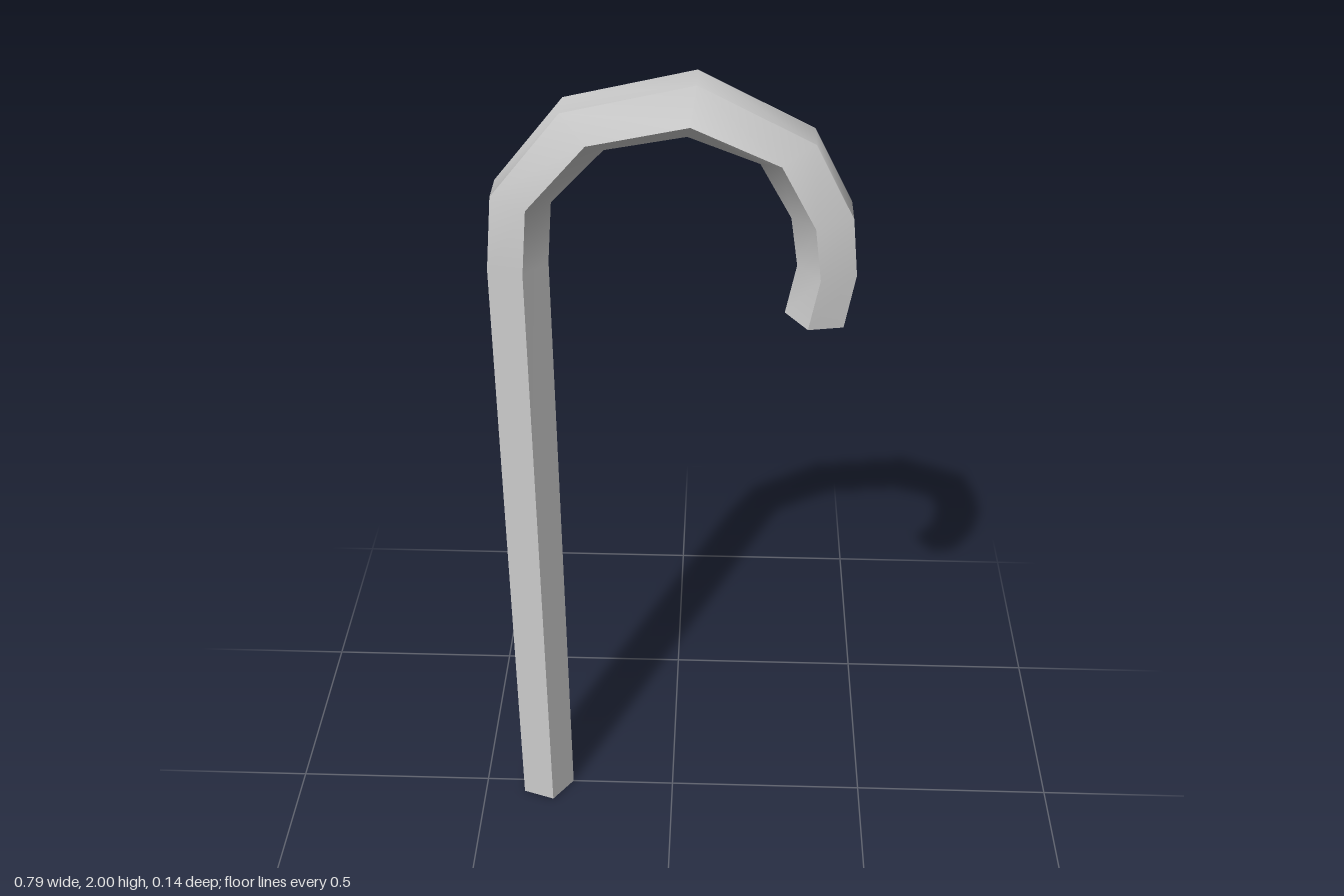
import * as THREE from 'three';

// Outer and inner edge of the cane at each bend: [outerX, outerY, innerX, innerY]
const stations = [
  [-0.396, 0, -0.268, 0],
  [-0.396, 1.58, -0.268, 1.58],
  [-0.38, 1.75, -0.257, 1.72],
  [-0.228, 1.937, -0.143, 1.84],
  [0.05, 2, 0.03, 1.872],
  [0.294, 1.877, 0.182, 1.814],
  [0.38, 1.712, 0.251, 1.692],
  [0.394, 1.58, 0.268, 1.58],
  [0.373, 1.453, 0.246, 1.464],
];

// Pentagon section: [fraction from outer to inner edge, z]
const section = [[0, 0.042], [0.617, 0.068], [1, 0], [0.617, -0.068], [0, -0.042]];

const corner = ([ox, oy, ix, iy], [t, z]) => [ox + (ix - ox) * t, oy + (iy - oy) * t, z];

function makeGeometry(points, index) {
  const geometry = new THREE.BufferGeometry();
  geometry.setAttribute('position', new THREE.Float32BufferAttribute(points.flat(), 3));
  geometry.setIndex(index);
  geometry.computeVertexNormals();
  return geometry;
}

export function createModel() {
  const group = new THREE.Group();
  group.name = 'cane';
  const material = new THREE.MeshStandardMaterial({ color: 0xcccccc });
  const add = (name, geometry) => {
    const mesh = new THREE.Mesh(geometry, material);
    mesh.name = name;
    group.add(mesh);
  };

  // Five long sides, smooth along the bend and sharp between each other
  section.forEach((c, j) => {
    const next = section[(j + 1) % section.length];
    const points = [];
    const index = [];
    stations.forEach((s, i) => {
      points.push(corner(s, c), corner(s, next));
      const a = i * 2;
      if (i < stations.length - 1) index.push(a, a + 1, a + 3, a, a + 3, a + 2);
    });
    add(`caneSide${j + 1}`, makeGeometry(points, index));
  });

  // Flat ends
  const first = stations[0];
  const last = stations[stations.length - 1];
  add('footCap', makeGeometry(section.map((c) => corner(first, c)), [0, 2, 1, 0, 3, 2, 0, 4, 3]));
  add('hookCap', makeGeometry(section.map((c) => corner(last, c)), [0, 1, 2, 0, 2, 3, 0, 3, 4]));

  return group;
}
